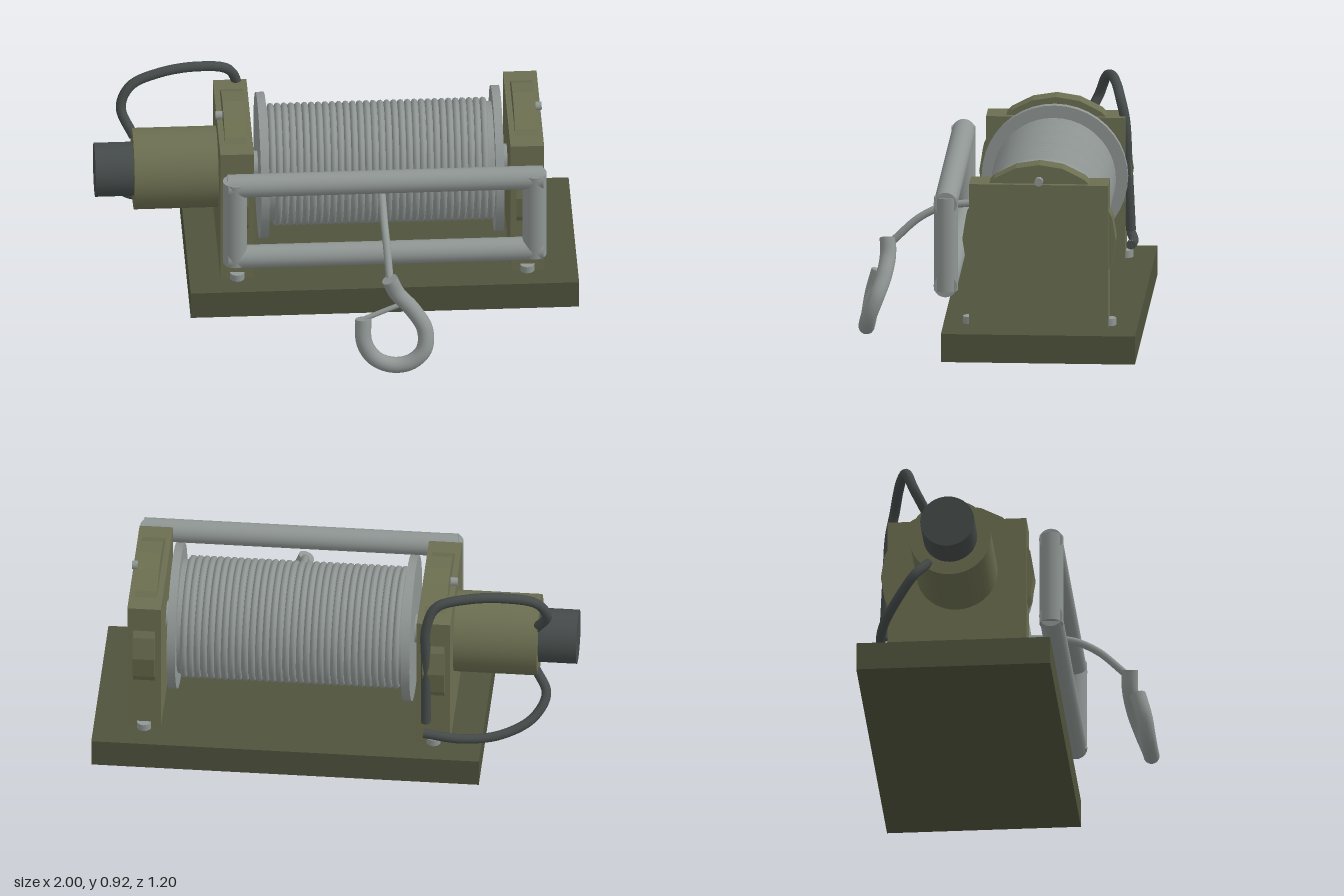
import * as THREE from 'three';

const material = (color, flatShading = false) => new THREE.MeshStandardMaterial({ color, flatShading });
const V = (p) => new THREE.Vector3(...p);

export function createModel() {
  const model = new THREE.Group();
  model.name = 'winch';
  const olive = material(0x6b6e50), oliveFlat = material(0x6b6e50, true);
  const darkOlive = material(0x4f523c), steel = material(0x8f9694), dark = material(0x454b4a);
  const axisY = 0.56, axisZ = -0.19;

  const add = (name, geometry, mat, x = 0, y = 0, z = 0, parent = model) => {
    const mesh = new THREE.Mesh(geometry, mat);
    mesh.name = name;
    mesh.position.set(x, y, z);
    parent.add(mesh);
    return mesh;
  };
  // box and x-axis cylinder given by their extents
  const box = (name, mat, x0, x1, y0, y1, z0, z1, parent) => add(name,
    new THREE.BoxGeometry(x1 - x0, y1 - y0, z1 - z0), mat,
    (x0 + x1) / 2, (y0 + y1) / 2, (z0 + z1) / 2, parent);
  const barX = (name, mat, x0, x1, r, y = axisY, z = axisZ, sides = 40, parent = model) => add(name,
    new THREE.CylinderGeometry(r, r, x1 - x0, sides).rotateZ(Math.PI / 2), mat, (x0 + x1) / 2, y, z, parent);
  // round tube through points, closed at both ends
  const tube = (name, mat, points, r, segments = 60, sides = 12) => {
    const group = new THREE.Group();
    group.name = name;
    const curve = new THREE.CatmullRomCurve3(points.map(V));
    add(name + 'Body', new THREE.TubeGeometry(curve, segments, r, sides), mat, 0, 0, 0, group);
    for (const t of [0, 1]) {
      const cap = add(name + 'End', new THREE.CircleGeometry(r, sides), mat, 0, 0, 0, group);
      cap.position.copy(curve.getPoint(t));
      cap.lookAt(cap.position.clone().addScaledVector(curve.getTangent(t), t ? 1 : -1));
    }
    model.add(group);
  };

  box('basePlate', darkOlive, -0.62, 1, 0.07, 0.19, -0.6, 0.21);

  // end supports with a gear housing disc, a pin and base bolts
  for (const [name, x, out] of [['rightSupport', -0.42, -1], ['leftSupport', 0.79, 1]]) {
    const support = new THREE.Group();
    support.name = name;
    model.add(support);
    box('upright', olive, x - 0.07, x + 0.07, 0.19, 0.8, -0.48, 0.1, support);
    barX('gearHousing', oliveFlat, x - 0.046, x + 0.046, 0.32, axisY, axisZ, 20, support);
    const pinX = x + out * 0.056;
    barX('pin', steel, pinX - 0.019, pinX + 0.019, 0.018, 0.812, axisZ, 14, support);
    for (const z of [0.1, -0.48]) {
      add('bolt', new THREE.CylinderGeometry(0.03, 0.03, 0.03, 14), steel, x, 0.205, z, support);
    }
  }

  // motor
  barX('motorHousing', olive, -0.84, -0.49, 0.17);
  barX('motorCap', dark, -1, -0.84, 0.113);

  // drum with flanges
  barX('drumShaft', steel, -0.36, 0.73, 0.06);
  barX('drumCore', steel, -0.3, 0.68, 0.238);
  barX('drumFlange', steel, -0.32, -0.285, 0.305);
  barX('drumFlange', steel, 0.66, 0.695, 0.305);

  // wound cable
  class Helix extends THREE.Curve {
    getPoint(t, target = new THREE.Vector3()) {
      const a = t * this.turns * Math.PI * 2;
      return target.set(-0.27 + 0.915 * t, axisY + 0.243 * Math.sin(a), axisZ + 0.243 * Math.cos(a));
    }
  }
  const helix = new Helix();
  helix.turns = 32;
  helix.arcLengthDivisions = 2000;
  add('woundCable', new THREE.TubeGeometry(helix, 32 * 44, 0.0145, 8), steel);

  // roller frame in front of the drum
  for (const y of [0.36, 0.71]) barX('horizontalRoller', steel, -0.465, 0.85, 0.049, y, 0.2, 24);
  for (const x of [-0.435, 0.815]) {
    add('verticalRoller', new THREE.CylinderGeometry(0.05, 0.05, 0.4, 24), steel, x, 0.535, 0.2);
  }

  // cable lead, hook and latch
  tube('cableLead', steel, [[0.185, 0.56, 0.05], [0.185, 0.555, 0.15], [0.185, 0.54, 0.25],
    [0.19, 0.49, 0.35], [0.197, 0.395, 0.455]], 0.016, 40);
  tube('hook', steel, [[0.195, 0.405, 0.478], [0.225, 0.335, 0.476], [0.29, 0.26, 0.49], [0.34, 0.18, 0.52],
    [0.335, 0.1, 0.55], [0.28, 0.048, 0.562], [0.205, 0.036, 0.563], [0.13, 0.068, 0.558],
    [0.086, 0.14, 0.547], [0.083, 0.24, 0.52]], 0.034, 60, 14);
  tube('hookLatch', steel, [[0.075, 0.235, 0.522], [0.15, 0.258, 0.505], [0.24, 0.285, 0.488]], 0.011, 8, 8);

  // hoses from the motor to the back of the support
  tube('upperHose', dark, [[-0.83, 0.66, -0.28], [-0.882, 0.77, -0.34], [-0.84, 0.855, -0.37],
    [-0.72, 0.895, -0.4], [-0.56, 0.902, -0.43], [-0.43, 0.87, -0.455], [-0.39, 0.78, -0.478],
    [-0.39, 0.6, -0.488], [-0.39, 0.31, -0.502]], 0.021);
  tube('lowerHose', dark, [[-0.83, 0.45, -0.28], [-0.88, 0.37, -0.34], [-0.83, 0.29, -0.41],
    [-0.7, 0.242, -0.475], [-0.54, 0.233, -0.505], [-0.38, 0.25, -0.503]], 0.02);

  return model;
}
